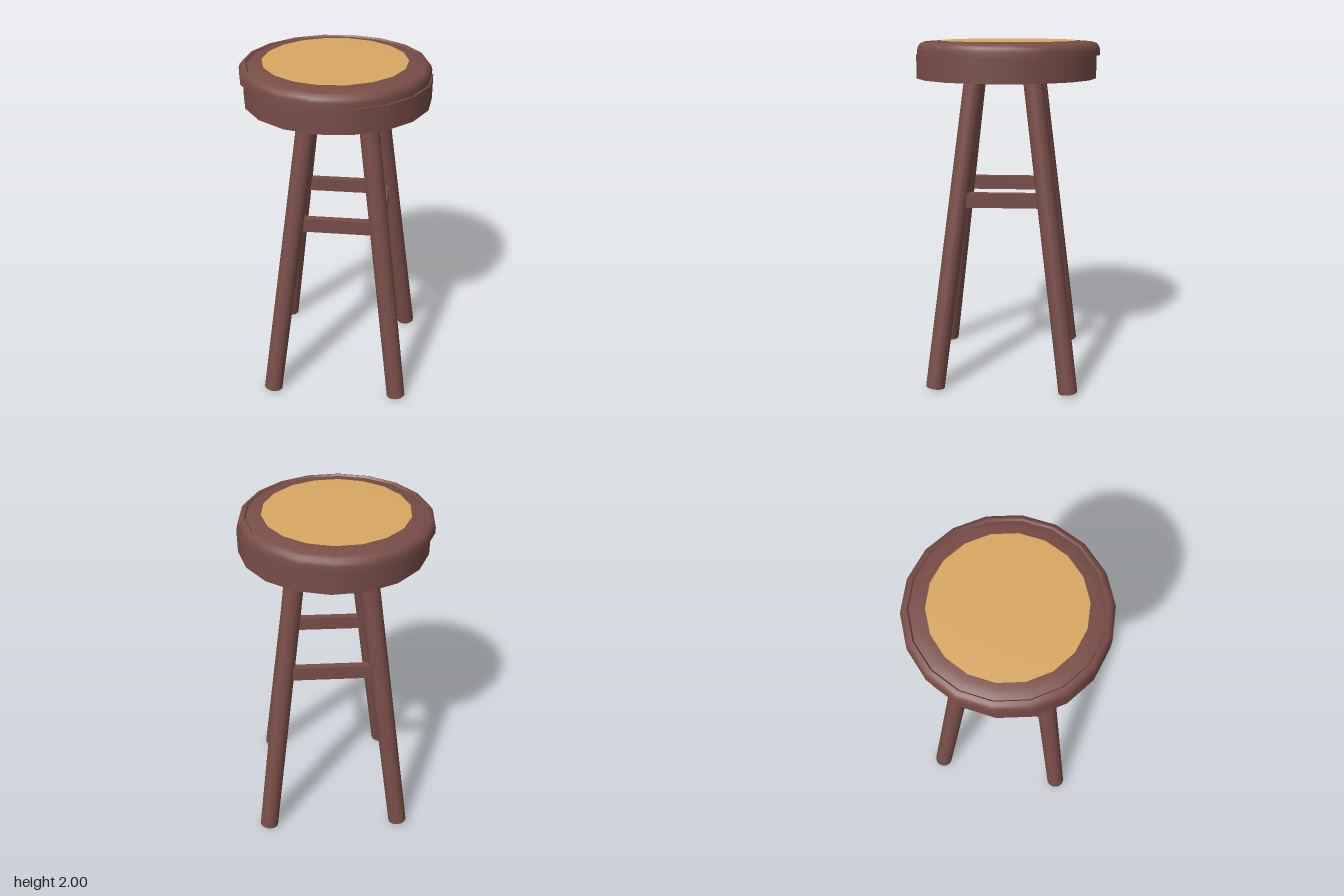
import * as THREE from 'three';

export function createModel() {
  const model = new THREE.Group();
  model.name = 'stool';

  const wood = new THREE.MeshStandardMaterial({ color: 0x784d47 });
  wood.name = 'brown wood';
  const pad = new THREE.MeshStandardMaterial({ color: 0xd9a862 });
  pad.name = 'golden pad';

  const SIDES = 18;
  const add = (name, geometry, material, x = 0, y = 0, z = 0) => {
    const mesh = new THREE.Mesh(geometry, material);
    mesh.name = name;
    mesh.position.set(x, y, z);
    model.add(mesh);
    return mesh;
  };
  // Turned part; profile runs as [radius, height], with corners on the x axis
  const turned = (profile) => new THREE.LatheGeometry(
    profile.map(([r, y]) => new THREE.Vector2(r, y)), SIDES, Math.PI / 2);

  // Seat: drum below, rounded rim with a groove, gently domed top
  add('seatBase', new THREE.CylinderGeometry(0.52, 0.52, 0.135, SIDES, 1, false, Math.PI / 2),
    wood, -0.02, 1.852, -0.003);
  const cx = -0.022, cz = -0.021;
  add('rimUnderside', turned([[0, 1.914], [0.527, 1.914]]), wood, cx, 0, cz);
  add('seatRim', turned([[0.527, 1.914], [0.527, 1.947], [0.521, 1.967], [0.508, 1.982], [0.49, 1.988]]),
    wood, cx, 0, cz);
  add('rimGroove', turned([[0.49, 1.988], [0.482, 1.978]]), wood, cx, 0, cz);
  add('seatTop', turned([[0.482, 1.978], [0.455, 1.987], [0.43, 1.992], [0.4, 1.995]]), wood, cx, 0, cz);
  add('seatPad', turned([[0.4, 1.995], [0.3, 1.998], [0.15, 1.9995], [0, 2]]), pad, cx, 0, cz);

  // Four splayed legs; each sits slightly off its axis
  const up = new THREE.Vector3(0, 1, 0);
  const leg = (name, dx, dz) => {
    const ox = dz ? -0.013 : -0.002, oz = dx ? 0.03 : 0.002;
    const foot = new THREE.Vector3(dx * 0.558 + ox, 0.011, dz * 0.558 + oz);
    const top = new THREE.Vector3(dx * 0.234 + ox, 1.84, dz * 0.234 + oz);
    const axis = top.clone().sub(foot);
    const mesh = add(name, new THREE.CylinderGeometry(0.055, 0.055, axis.length(), 18), wood);
    mesh.position.copy(foot).add(top).multiplyScalar(0.5);
    mesh.quaternion.setFromUnitVectors(up, axis.normalize());
  };
  leg('frontLeg', 0, 1);
  leg('backLeg', 0, -1);
  leg('leftLeg', 1, 0);
  leg('rightLeg', -1, 0);

  // Square ring of rails between neighbouring legs
  const reach = 0.36;
  for (const sx of [1, -1]) {
    for (const sz of [1, -1]) {
      const name = (sz > 0 ? 'front' : 'back') + (sx > 0 ? 'Left' : 'Right') + 'Rail';
      const rail = add(name, new THREE.BoxGeometry(reach * Math.SQRT2, 0.083, 0.04), wood,
        sx * reach / 2 - 0.005, 1.112, sz * reach / 2 + 0.01);
      rail.rotation.y = sx * sz * Math.PI / 4;
    }
  }
  return model;
}
